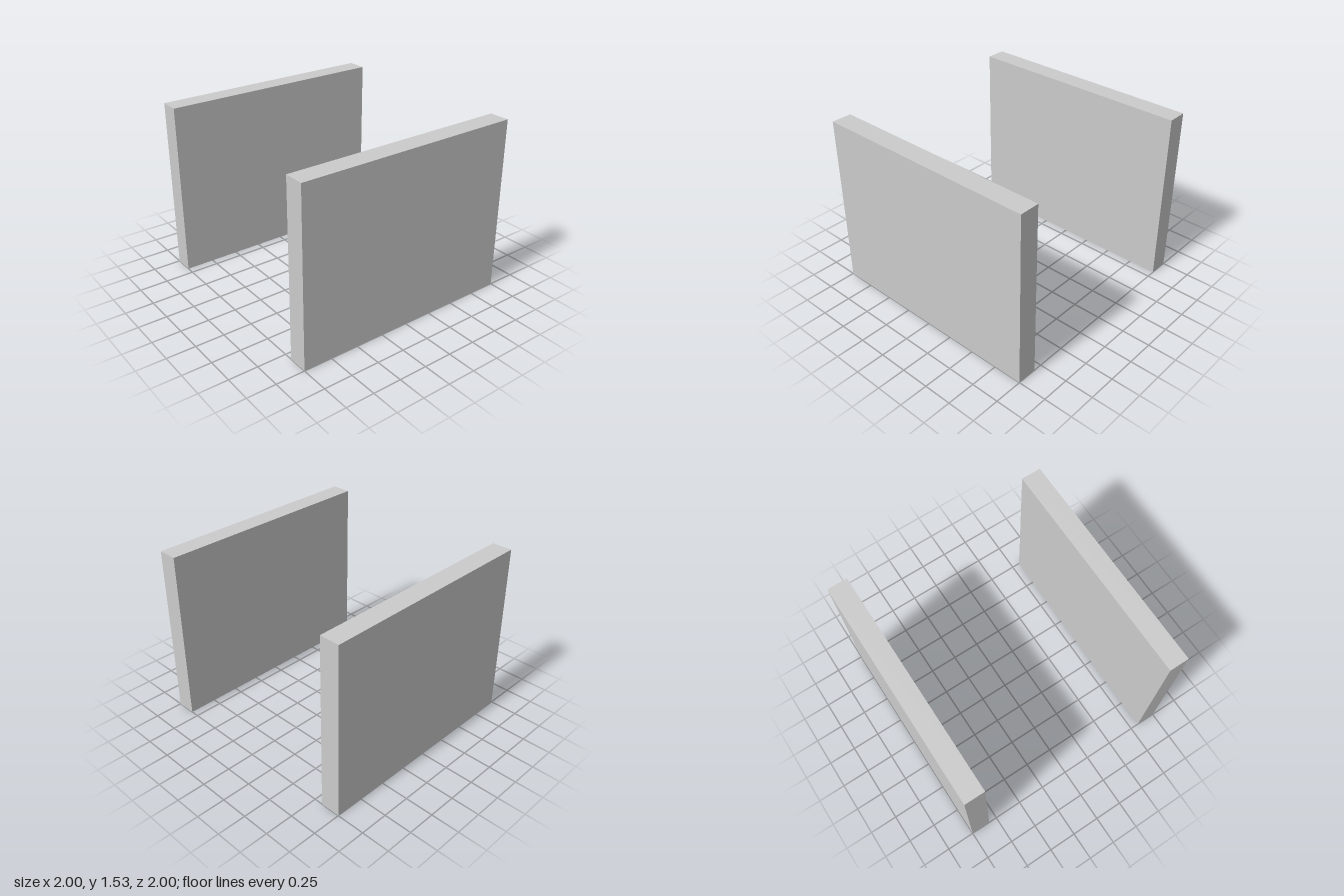
import * as THREE from 'three';

const WIDTH = 2, HEIGHT = 1.53, THICKNESS = 0.175;

export function createModel() {
  const model = new THREE.Group();
  model.name = 'panelPair';
  const material = new THREE.MeshStandardMaterial({ color: 0xcccccc });
  const geometry = new THREE.BoxGeometry(WIDTH, HEIGHT, THICKNESS);

  // Two parallel upright panels, mirrored front to back
  for (const [name, side] of [['frontPanel', 1], ['backPanel', -1]]) {
    const panel = new THREE.Mesh(geometry, material);
    panel.name = name;
    panel.position.set(0, HEIGHT / 2, side * (1 - THICKNESS / 2));
    model.add(panel);
  }
  return model;
}
